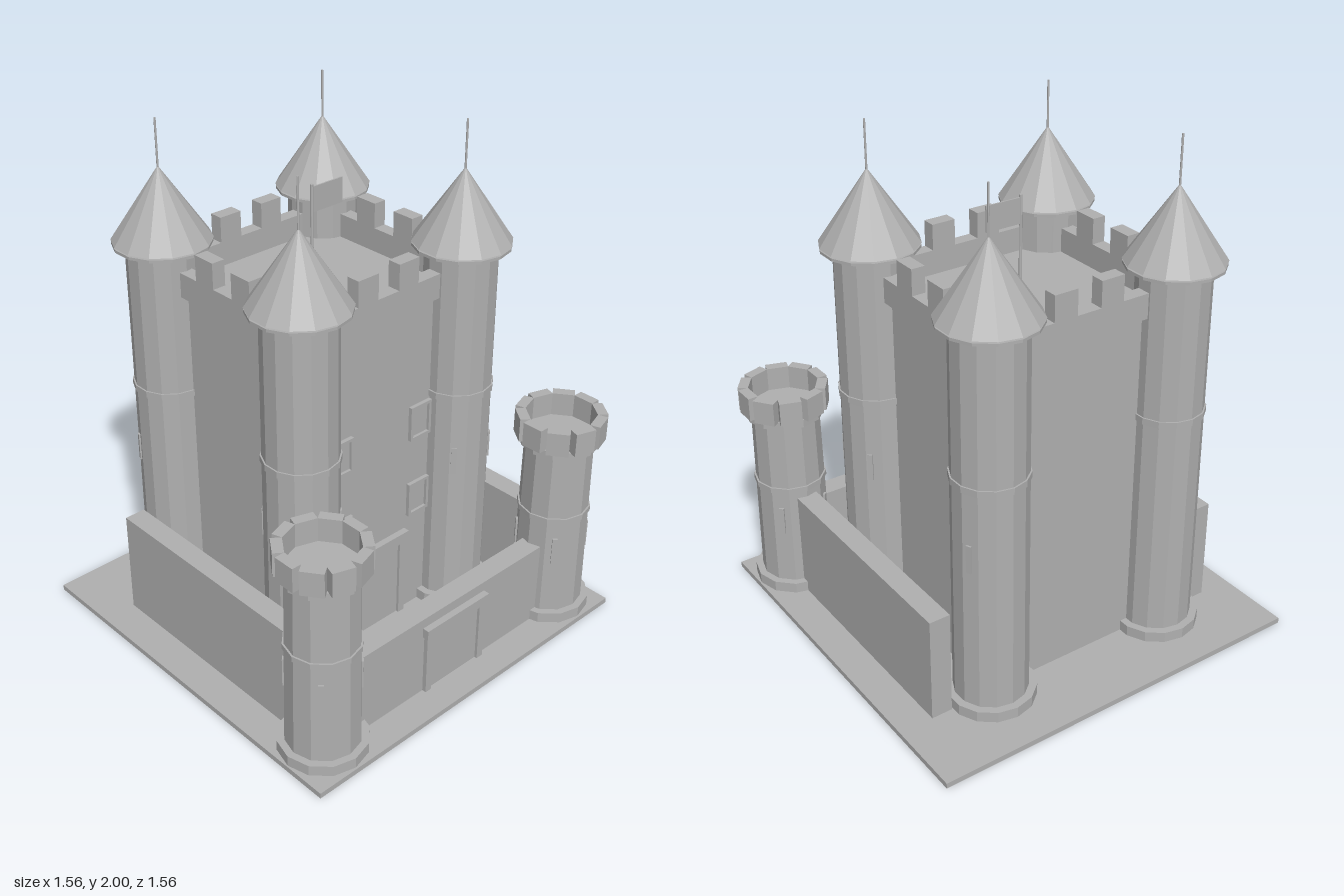
import * as THREE from 'three';

const stone = new THREE.MeshStandardMaterial({ color: 0xb0b0b0, flatShading: true });
stone.name = 'stone';

function add(parent, name, geometry, x = 0, y = 0, z = 0) {
  const mesh = new THREE.Mesh(geometry, stone);
  mesh.name = name;
  mesh.position.set(x, y, z);
  parent.add(mesh);
  return mesh;
}

// Box given by its limits on each axis
function box(parent, name, x0, x1, y0, y1, z0, z1) {
  return add(parent, name, new THREE.BoxGeometry(x1 - x0, y1 - y0, z1 - z0),
    (x0 + x1) / 2, (y0 + y1) / 2, (z0 + z1) / 2);
}

// Upright drum between two heights
function drum(parent, name, rBottom, rTop, y0, y1, sides) {
  return add(parent, name, new THREE.CylinderGeometry(rTop, rBottom, y1 - y0, sides), 0, (y0 + y1) / 2, 0);
}

// Narrow plates set around a shaft, angles in degrees from +x towards +z
function slits(parent, angles, radius, y0, y1) {
  for (const deg of angles) {
    const a = THREE.MathUtils.degToRad(deg);
    const slit = add(parent, 'arrowSlit', new THREE.BoxGeometry(0.012, y1 - y0, 0.02),
      Math.cos(a) * radius, (y0 + y1) / 2, Math.sin(a) * radius);
    slit.rotation.y = -a;
  }
}

// Tall keep tower with a pointed roof
function keepTower(x, z, slitAngles) {
  const g = new THREE.Group();
  g.name = 'keepTower';
  g.position.set(x, 0, z);
  drum(g, 'plinth', 0.17, 0.17, 0.02, 0.065, 14);
  drum(g, 'shaft', 0.14, 0.137, 0.065, 1.535, 14);
  drum(g, 'band', 0.144, 0.144, 0.955, 0.98, 14);
  drum(g, 'eaves', 0.183, 0.183, 1.532, 1.543, 14);
  drum(g, 'neck', 0.03, 0.03, 1.54, 1.56, 14);
  drum(g, 'roof', 0.185, 0, 1.55, 1.825, 14);
  drum(g, 'spire', 0.004, 0.004, 1.81, 2, 8);
  slits(g, slitAngles, 0.136, 0.64, 0.75);
  return g;
}

// Short gate tower crowned with a ring of merlons
function gateTower(x, z) {
  const g = new THREE.Group();
  g.name = 'gateTower';
  g.position.set(x, 0, z);
  drum(g, 'plinth', 0.168, 0.168, 0.02, 0.065, 12);
  drum(g, 'shaft', 0.14, 0.132, 0.065, 0.775, 12);
  drum(g, 'band', 0.142, 0.142, 0.475, 0.497, 12);
  drum(g, 'collar', 0.152, 0.152, 0.77, 0.802, 12);
  for (let i = 0; i < 10; i++) {
    const a = (i / 10) * Math.PI * 2;
    const merlon = add(g, 'merlon', new THREE.BoxGeometry(0.04, 0.095, 0.084),
      Math.cos(a) * 0.148, 0.8475, Math.sin(a) * 0.148);
    merlon.rotation.y = -a;
  }
  slits(g, [45, 135, 225, 315], 0.134, 0.29, 0.405);
  return g;
}

// Door leaf with jambs and lintel on a wall facing +z
function doorway(name, halfWidth, height, lintelHeight, z) {
  const g = new THREE.Group();
  g.name = name;
  box(g, 'doorLeaf', -halfWidth, halfWidth, 0.02, height - 0.015, z - 0.01, z + 0.006);
  for (const s of [-1, 1]) {
    const cx = s * (halfWidth + 0.015);
    box(g, 'jamb', cx - 0.015, cx + 0.015, 0.02, height, z - 0.01, z + 0.017);
  }
  box(g, 'lintel', -halfWidth - 0.038, halfWidth + 0.038, height, height + lintelHeight, z - 0.01, z + 0.026);
  return g;
}

// Square window frame with a pane
function keepWindow(x, y, z) {
  const g = new THREE.Group();
  g.name = 'window';
  g.position.set(x, y, z);
  const w = 0.053, h = 0.072, t = 0.012;
  const frame = new THREE.Shape();
  frame.moveTo(-w, -h).lineTo(w, -h).lineTo(w, h).lineTo(-w, h).closePath();
  const hole = new THREE.Path();
  hole.moveTo(-w + t, -h + t).lineTo(-w + t, h - t).lineTo(w - t, h - t).lineTo(w - t, -h + t).closePath();
  frame.holes.push(hole);
  add(g, 'windowFrame', new THREE.ExtrudeGeometry(frame, { depth: 0.015, bevelEnabled: false }));
  box(g, 'windowPane', -w + t, w - t, -h + t, h - t, -0.002, 0.004);
  return g;
}

export function createModel() {
  const model = new THREE.Group();
  model.name = 'castle';

  box(model, 'ground', -0.78, 0.78, 0, 0.022, -0.78, 0.78);

  // Keep
  const keep = new THREE.Group();
  keep.name = 'keep';
  keep.position.z = -0.11;
  model.add(keep);
  const hx = 0.39, hz = 0.365;
  box(keep, 'keepBody', -hx, hx, 0.02, 1.37, -hz, hz);

  // Parapet walls and merlons
  const t = 0.027;
  for (const s of [-1, 1]) {
    box(keep, 'parapet', -hx, hx, 1.368, 1.465, s * 0.367 - t, s * 0.367 + t);
    box(keep, 'parapet', s * hx - t, s * hx + t, 1.368, 1.465, -hz, hz);
    for (const m of [-0.098, 0.098, -0.25, 0.25]) {
      if (Math.abs(m) > 0.2) continue;
      box(keep, 'merlon', m - 0.048, m + 0.048, 1.465, 1.565, s * 0.367 - t, s * 0.367 + t);
      box(keep, 'merlon', s * hx - t, s * hx + t, 1.465, 1.565, m - 0.048, m + 0.048);
    }
  }

  // Flag
  drum(keep, 'flagPole', 0.006, 0.006, 1.37, 1.757, 8);
  box(keep, 'flag', 0.004, 0.146, 1.65, 1.747, -0.003, 0.003);

  // Keep windows and door
  for (const x of [-0.2, 0.2]) {
    for (const y of [0.533, 0.873]) model.add(keepWindow(x, y, 0.255));
  }
  model.add(doorway('keepDoor', 0.102, 0.362, 0.043, 0.255));

  // Towers and curtain walls, mirrored left and right
  for (const s of [-1, 1]) {
    model.add(keepTower(s * 0.39, 0.26, [45, 135, 225, 315]));
    model.add(keepTower(s * 0.39, -0.48, s > 0 ? [-24] : [204]));
    model.add(gateTower(s * 0.607, 0.605));
    box(model, 'sideWall', s * 0.603 - 0.042, s * 0.603 + 0.042, 0.02, 0.447, -0.48, 0.52);
  }
  box(model, 'frontWall', -0.55, 0.55, 0.02, 0.357, 0.57, 0.655);
  model.add(doorway('gate', 0.125, 0.277, 0.04, 0.655));

  return model;
}
